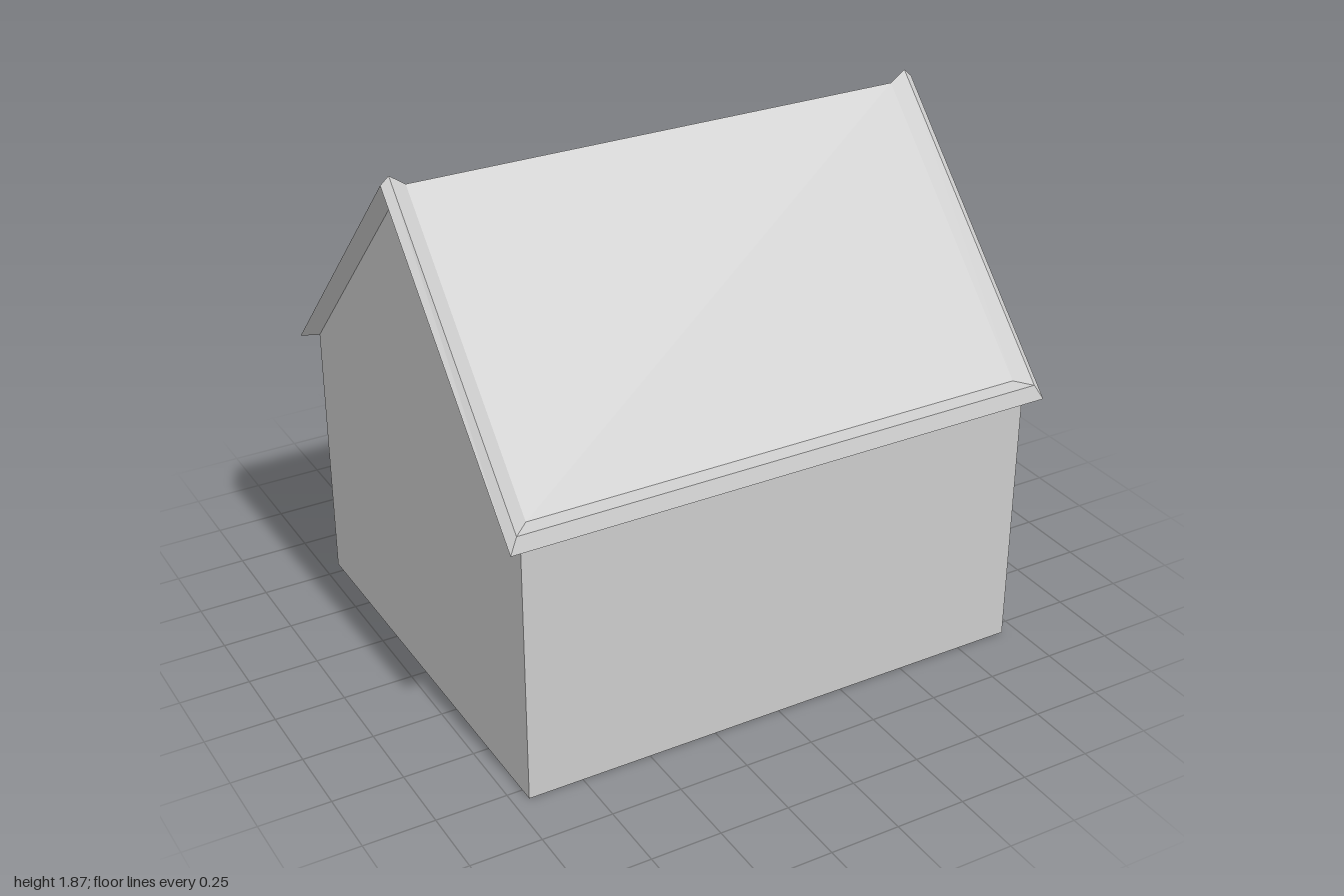
import * as THREE from 'three';

const material = new THREE.MeshStandardMaterial({ color: 0xcccccc, flatShading: true });

// Gable-shaped loop: two ridge ends and four eave corners
const gableRing = (x, ridge, z, eave) => [
  [x, ridge, 0], [x, eave, z], [-x, eave, z],
  [-x, ridge, 0], [-x, eave, -z], [x, eave, -z],
];

function quadMesh(name, quads) {
  const positions = [];
  for (const [a, b, c, d] of quads) positions.push(...a, ...b, ...c, ...a, ...c, ...d);
  const geometry = new THREE.BufferGeometry();
  geometry.setAttribute('position', new THREE.Float32BufferAttribute(positions, 3));
  geometry.computeVertexNormals();
  const mesh = new THREE.Mesh(geometry, material);
  mesh.name = name;
  return mesh;
}

// Quads joining two loops
const loft = (lower, upper) => lower.map((p, i) => {
  const j = (i + 1) % lower.length;
  return [p, upper[i], upper[j], lower[j]];
});

export function createModel() {
  const group = new THREE.Group();
  group.name = 'house';

  // Walls: gable profile pushed along the length
  const halfLength = 0.945, halfWidth = 0.8, wallTop = 0.965, gableTop = 1.8;
  const profile = new THREE.Shape([
    new THREE.Vector2(-halfWidth, 0), new THREE.Vector2(halfWidth, 0),
    new THREE.Vector2(halfWidth, wallTop), new THREE.Vector2(0, gableTop),
    new THREE.Vector2(-halfWidth, wallTop),
  ]);
  const wallGeometry = new THREE.ExtrudeGeometry(profile, { depth: 2 * halfLength, bevelEnabled: false });
  wallGeometry.translate(0, 0, -halfLength).rotateY(Math.PI / 2);
  const walls = new THREE.Mesh(wallGeometry, material);
  walls.name = 'walls';
  group.add(walls);

  // Raised roof rim: soffit, outer face and inner slope
  const soffit = gableRing(halfLength, gableTop, halfWidth, wallTop);
  const outer = gableRing(1, 1.84, 0.845, 0.955);
  const crest = gableRing(0.97, 1.867, 0.828, 1.007);
  const inner = gableRing(0.915, 1.828, 0.78, 1.016);
  group.add(quadMesh('roofRim', [
    ...loft(soffit, outer), ...loft(outer, crest), ...loft(crest, inner),
  ]));

  // Sunken roof slopes inside the rim
  const [p0, p1, p2, p3, p4, p5] = inner;
  group.add(quadMesh('frontRoofSlope', [[p0, p3, p2, p1]]));
  group.add(quadMesh('backRoofSlope', [[p3, p0, p5, p4]]));

  return group;
}
